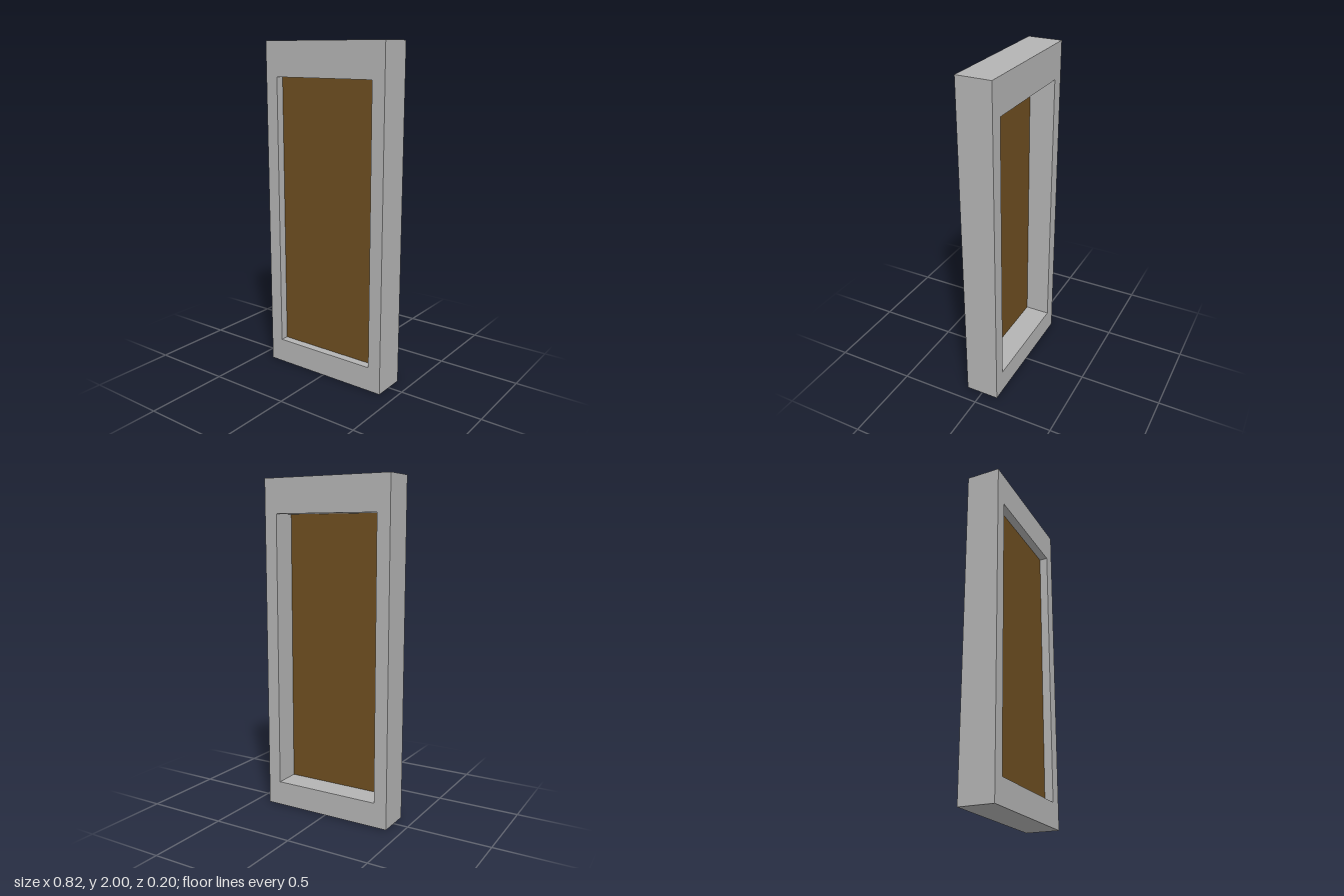
import * as THREE from 'three';

const WIDTH = 0.82, HEIGHT = 2, DEPTH = 0.205;
const OPENING = { left: -0.33, right: 0.33, bottom: 0.147, top: 1.795 };
const PANEL_Z = 0.052;

// Axis-aligned rectangle as a list of corners
const rectangle = (x0, y0, x1, y1) => [
  new THREE.Vector2(x0, y0), new THREE.Vector2(x1, y0),
  new THREE.Vector2(x1, y1), new THREE.Vector2(x0, y1),
];

export function createModel() {
  const model = new THREE.Group();
  model.name = 'framedPanel';

  const frameGrey = new THREE.MeshStandardMaterial({ color: 0xb3b3b3 });
  frameGrey.name = 'frame grey';
  const panelBrown = new THREE.MeshStandardMaterial({ color: 0x6d4d20, side: THREE.DoubleSide });
  panelBrown.name = 'panel brown';

  // Surround: a slab with one rectangular opening right through it
  const { left, right, bottom, top } = OPENING;
  const outline = new THREE.Shape(rectangle(-WIDTH / 2, 0, WIDTH / 2, HEIGHT));
  outline.holes.push(new THREE.Path(rectangle(left, bottom, right, top).reverse()));
  const frameGeometry = new THREE.ExtrudeGeometry(outline, { depth: DEPTH, bevelEnabled: false });
  frameGeometry.translate(0, 0, -DEPTH / 2);
  const frame = new THREE.Mesh(frameGeometry, frameGrey);
  frame.name = 'frame';
  model.add(frame);

  // Thin panel filling the opening, set closer to the front
  const panel = new THREE.Mesh(new THREE.PlaneGeometry(right - left, top - bottom), panelBrown);
  panel.name = 'panel';
  panel.position.set((left + right) / 2, (bottom + top) / 2, PANEL_Z);
  model.add(panel);

  return model;
}
